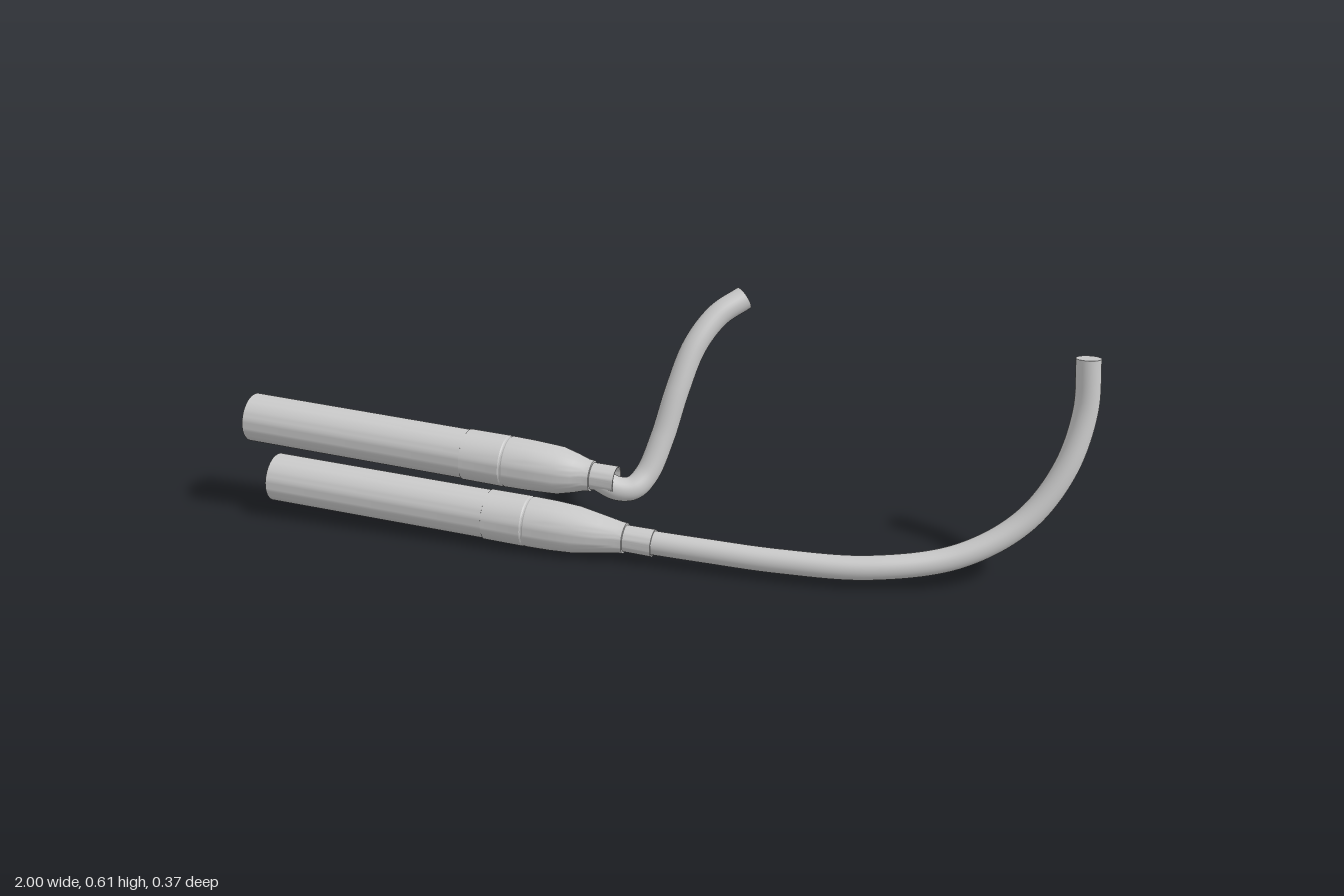
import * as THREE from 'three';
import { toCreasedNormals } from 'three/addons/utils/BufferGeometryUtils.js';

const V = (a) => new THREE.Vector3(...a);
const Y = new THREE.Vector3(0, 1, 0);
const Z = new THREE.Vector3(0, 0, 1);

export function createModel() {
  const steel = new THREE.MeshStandardMaterial({ color: 0xc8c8c8 });
  const model = new THREE.Group();

  const add = (parent, name, geometry) => {
    const mesh = new THREE.Mesh(geometry, steel);
    mesh.name = name;
    parent.add(mesh);
    return mesh;
  };
  const lathe = (points) => toCreasedNormals(
    new THREE.LatheGeometry(points.map(([r, t]) => new THREE.Vector2(r, t)), 48), 0.45);

  // Hollow silencer turned about its axis, from the open mouth to the inlet collar
  function silencer(name, mouth, inlet, coneStart, collarStart) {
    const from = V(mouth), axis = V(inlet).sub(from);
    const len = axis.length();
    const group = new THREE.Group();
    group.name = name;
    group.position.copy(from);
    group.quaternion.setFromUnitVectors(Y, axis.normalize());

    // Open can with a thin rolled lip
    add(group, 'silencerCan', lathe([
      [0, 0.56], [0.055, 0.56], [0.055, 0.003], [0.057, 0], [0.059, 0.003],
      [0.059, 0.57], [0.055, 0.575],
    ]));
    // Clamp band and taper to the inlet
    add(group, 'taper', lathe([
      [0.056, 0.565], [0.061, 0.567], [0.0615, 0.665], [0.0595, 0.668], [0.0595, 0.671],
      [0.061, 0.674], [0.06, 0.73], [0.0565, coneStart],
      [0.046, (coneStart + collarStart) / 2], [0.038, collarStart - 0.015],
      [0.0365, collarStart], [0.031, collarStart + 0.001],
    ]));
    // Open collar receiving the pipe
    add(group, 'inletCollar', lathe([
      [0.032, collarStart - 0.005], [0.0325, len], [0.0295, len],
      [0.0295, collarStart], [0, collarStart],
    ]));
    model.add(group);
  }

  silencer('upperSilencer', [-0.998, 0.254, 0.126], [-0.06, 0.208, 0.113], 0.8, 0.88);
  silencer('lowerSilencer', [-0.949, 0.1, 0.126], [0.03, 0.058, 0.112], 0.79, 0.91);

  // Bent header pipe with flat ends
  function pipe(name, points, radius) {
    const group = new THREE.Group();
    group.name = name;
    const curve = new THREE.CatmullRomCurve3(points.map(V), false, 'centripetal');
    add(group, 'bentTube', new THREE.TubeGeometry(curve, 96, radius, 28, false));
    for (const end of [0, 1]) {
      const cap = add(group, 'pipeEnd', new THREE.CircleGeometry(radius, 28));
      cap.position.copy(curve.getPointAt(end));
      cap.quaternion.setFromUnitVectors(Z, curve.getTangentAt(end).multiplyScalar(end ? 1 : -1));
    }
    model.add(group);
  }

  pipe('upperHeaderPipe', [
    [-0.1, 0.204, 0.114], [-0.06, 0.187, 0.112], [-0.025, 0.187, 0.098], [0.0, 0.215, 0.068],
    [0.025, 0.295, 0.028], [0.048, 0.4, -0.012], [0.075, 0.495, -0.06],
    [0.115, 0.557, -0.112], [0.165, 0.59, -0.158],
  ], 0.0285);
  pipe('lowerHeaderPipe', [
    [-0.02, 0.06, 0.113], [0.15, 0.056, 0.109], [0.33, 0.053, 0.102], [0.54, 0.057, 0.077],
    [0.73, 0.088, 0.017], [0.86, 0.165, -0.047], [0.935, 0.28, -0.1],
    [0.965, 0.41, -0.143], [0.96, 0.53, -0.159],
  ], 0.0285);

  return model;
}
